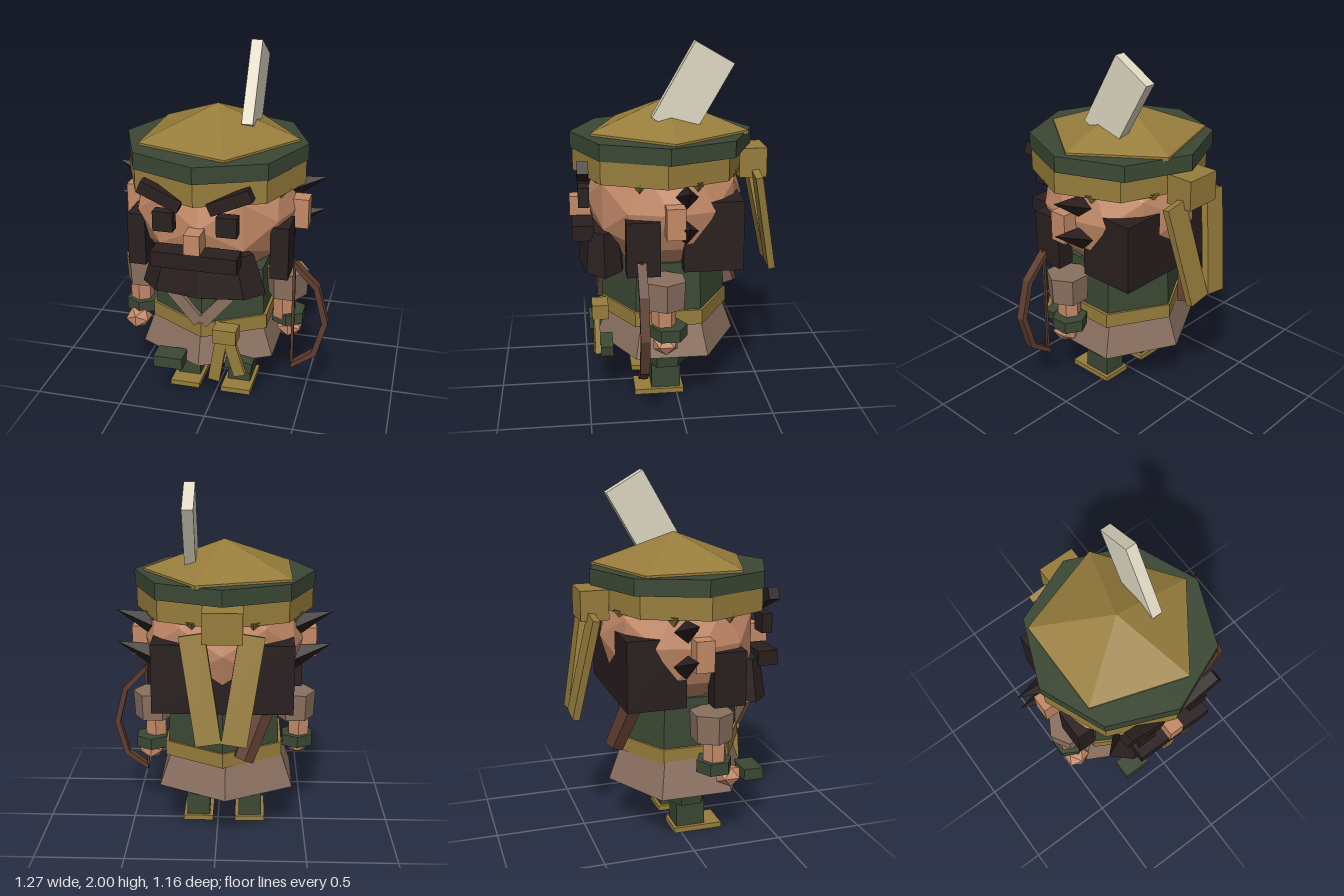
import * as THREE from 'three';

const paint = (name, color) => {
  const m = new THREE.MeshStandardMaterial({ color, flatShading: true });
  m.name = name;
  return m;
};
const V = (x, y, z) => new THREE.Vector3(x, y, z);
const CX = -0.035; // body axis

export function createModel() {
  const skin = paint('skin', 0xc48a68), dark = paint('dark hair', 0x2a1f1f);
  const green = paint('forest green', 0x3b4834), gold = paint('ochre', 0x977d3c);
  const cloth = paint('brown cloth', 0x8a705f), wood = paint('wood', 0x5f3d2f);
  const cream = paint('cream', 0xe0d9c3);
  const root = new THREE.Group();
  root.name = 'bearded archer';

  const add = (name, geo, mat, x = 0, y = 0, z = 0) => {
    const m = new THREE.Mesh(geo, mat);
    m.name = name;
    m.position.set(x, y, z);
    root.add(m);
    return m;
  };
  // box given by its extents
  const box = (name, mat, x0, x1, y0, y1, z0, z1) =>
    add(name, new THREE.BoxGeometry(x1 - x0, y1 - y0, z1 - z0), mat, (x0 + x1) / 2, (y0 + y1) / 2, (z0 + z1) / 2);
  // upright prism from y0 to y1
  const prism = (name, mat, r0, r1, y0, y1, x, z, sides = 6) =>
    add(name, new THREE.CylinderGeometry(r1, r0, y1 - y0, sides), mat, x, (y0 + y1) / 2, z);
  // stretch a unit-up geometry between two points, keeping its width facing front
  const span = (name, mat, a, b, make) => {
    const d = b.clone().sub(a), m = add(name, make(d.length()), mat);
    m.position.copy(a).add(b).multiplyScalar(0.5);
    const up = d.normalize();
    const front = V(0, 0, 1).addScaledVector(up, -up.z).normalize();
    m.quaternion.setFromRotationMatrix(new THREE.Matrix4().makeBasis(up.clone().cross(front), up, front));
    return m;
  };
  const beam = (name, mat, a, b, w, t) => span(name, mat, a, b, l => new THREE.BoxGeometry(w, l, t));

  // Legs
  for (const x of [-0.188, 0.115]) {
    box('sole', gold, x - 0.087, x + 0.087, 0, 0.03, -0.04, 0.24);
    box('shin', green, x - 0.067, x + 0.067, 0.03, 0.18, -0.022, 0.143);
    prism('thigh', green, 0.115, 0.145, 0.17, 0.32, x, 0.055);
  }

  // Body
  prism('skirt', cloth, 0.4, 0.33, 0.285, 0.48, CX - 0.015, 0.04).scale.x = 1.09;
  prism('torso', green, 0.36, 0.345, 0.52, 0.82, CX, 0.055);
  prism('belt', gold, 0.37, 0.37, 0.463, 0.548, CX, 0.055).scale.x = 1.02;
  for (const s of [-1, 1])
    beam('collar', cloth, V(CX + s * 0.16, 0.74, 0.418), V(CX + s * 0.008, 0.56, 0.422), 0.065, 0.03);
  box('belt knot', gold, 0.04, 0.17, 0.465, 0.548, 0.38, 0.472);
  beam('belt tail', gold, V(0.09, 0.5, 0.45), V(0.045, 0.225, 0.45), 0.065, 0.03);
  beam('belt tail', gold, V(0.12, 0.5, 0.445), V(0.19, 0.27, 0.445), 0.065, 0.03);
  box('pouch', green, -0.295, -0.13, 0.275, 0.342, 0.37, 0.485);
  box('pouch', green, 0.1, 0.25, 0.285, 0.345, 0.36, 0.43).rotation.z = -0.15;

  // Arms: sleeve, forearm, wristband, hand
  const arms = [
    { xs: [0.378, 0.366, 0.388, 0.398], zs: [0.085, 0.09, 0.065, 0.085] },
    { xs: [-0.445, -0.47, -0.462, -0.47], zs: [0.11, 0.12, 0.12, 0.2] },
  ];
  for (const { xs, zs } of arms) {
    prism('sleeve', cloth, 0.112, 0.12, 0.62, 0.775, xs[0], zs[0]).rotation.y = Math.PI / 6;
    prism('forearm', skin, 0.066, 0.068, 0.48, 0.65, xs[1], zs[1]);
    prism('wristband', green, 0.1, 0.1, 0.445, 0.512, xs[2], zs[2]);
    add('hand', new THREE.IcosahedronGeometry(0.078, 0), skin, xs[3], 0.41, zs[3]).scale.y = 0.8;
  }

  // Bow: angular limb and string
  const outer = [[0.435, 0.89], [0.575, 0.75], [0.632, 0.53], [0.575, 0.32], [0.435, 0.22]];
  const inner = [[0.435, 0.25], [0.548, 0.338], [0.598, 0.53], [0.548, 0.732], [0.435, 0.855]];
  const bow = new THREE.Shape([...outer, ...inner].map(p => new THREE.Vector2(...p)));
  add('bow limb', new THREE.ExtrudeGeometry(bow, { depth: 0.05, bevelEnabled: false }), wood, 0, 0, 0.187);
  box('bow string', wood, 0.428, 0.443, 0.22, 0.89, 0.204, 0.219);

  // Quiver under the hair
  span('quiver', wood, V(-0.15, 0.535, -0.345), V(-0.29, 0.9, -0.24), l => new THREE.CylinderGeometry(0.07, 0.06, l, 6));

  // Head and face
  add('head', new THREE.IcosahedronGeometry(1, 1), skin, CX, 1.13, 0.045).scale.set(0.455, 0.42, 0.44);
  box('nose', skin, -0.08, 0.005, 1.03, 1.14, 0.46, 0.577);
  for (const s of [-1, 1]) {
    const x = d => CX + s * d;
    add('eye', new THREE.BoxGeometry(0.108, 0.108, 0.06), dark, x(0.168), 1.18, 0.5);
    add('eyebrow', new THREE.BoxGeometry(0.235, 0.068, 0.062), dark, x(0.183), 1.316, 0.503).rotation.z = s * 0.42;
    add('ear', new THREE.BoxGeometry(0.1, 0.168, 0.1), skin, x(0.467), 1.105, 0.035);
    add('sideburn', new THREE.BoxGeometry(0.1, 0.3, 0.18), dark, x(0.398), 0.95, 0.2);
    // swept hair spikes
    for (const y of [1.29, 1.105])
      span('hair spike', dark, V(x(0.38), y - 0.08, -0.03), V(x(0.6), y, -0.03), l => new THREE.ConeGeometry(0.07, l, 4));
  }
  box('back hair', dark, -0.416, 0.348, 0.795, 1.18, -0.345, -0.02);
  box('moustache', dark, -0.263, 0.195, 0.94, 1.025, 0.45, 0.567);
  const beard = [[0, 0.69], [0.34, 0.765], [0.27, 0.99], [0, 1.0]].map(p => new THREE.Vector2(...p));
  add('beard', new THREE.LatheGeometry(beard, 8), dark, -0.022, 0, 0.4).scale.z = 0.4;

  // Hat
  prism('hat band', gold, 0.495, 0.495, 1.285, 1.415, CX, 0.075, 8).scale.z = 0.965;
  prism('hat rim', green, 0.503, 0.503, 1.41, 1.5, CX, 0.06, 8);
  for (let i = 0; i < 8; i++) {
    const a = (i + 0.5) * Math.PI / 4;
    const tip = add('hat fringe', new THREE.ConeGeometry(0.05, 0.06, 4), gold, CX + 0.42 * Math.sin(a), 1.27, 0.06 + 0.4 * Math.cos(a));
    tip.rotation.x = Math.PI;
  }
  prism('hat crown base', gold, 0.452, 0.452, 1.49, 1.512, CX, 0.028, 5).rotation.y = Math.PI / 2;
  add('hat crown', new THREE.ConeGeometry(0.452, 0.168, 5), gold, CX, 1.596, 0.028).rotation.y = Math.PI / 2;
  add('hat plume', new THREE.BoxGeometry(0.061, 0.46, 0.24), cream, 0.146, 1.741, -0.089).rotation.x = -Math.PI / 6;

  // Knot and hanging tails at the back of the hat
  box('hat knot', gold, -0.143, 0.068, 1.235, 1.4, -0.52, -0.365);
  beam('hat tail', gold, V(-0.19, 1.27, -0.46), V(-0.1, 0.71, -0.565), 0.135, 0.04);
  beam('hat tail', gold, V(0.12, 1.27, -0.455), V(0.03, 0.71, -0.56), 0.135, 0.04);

  return root;
}
